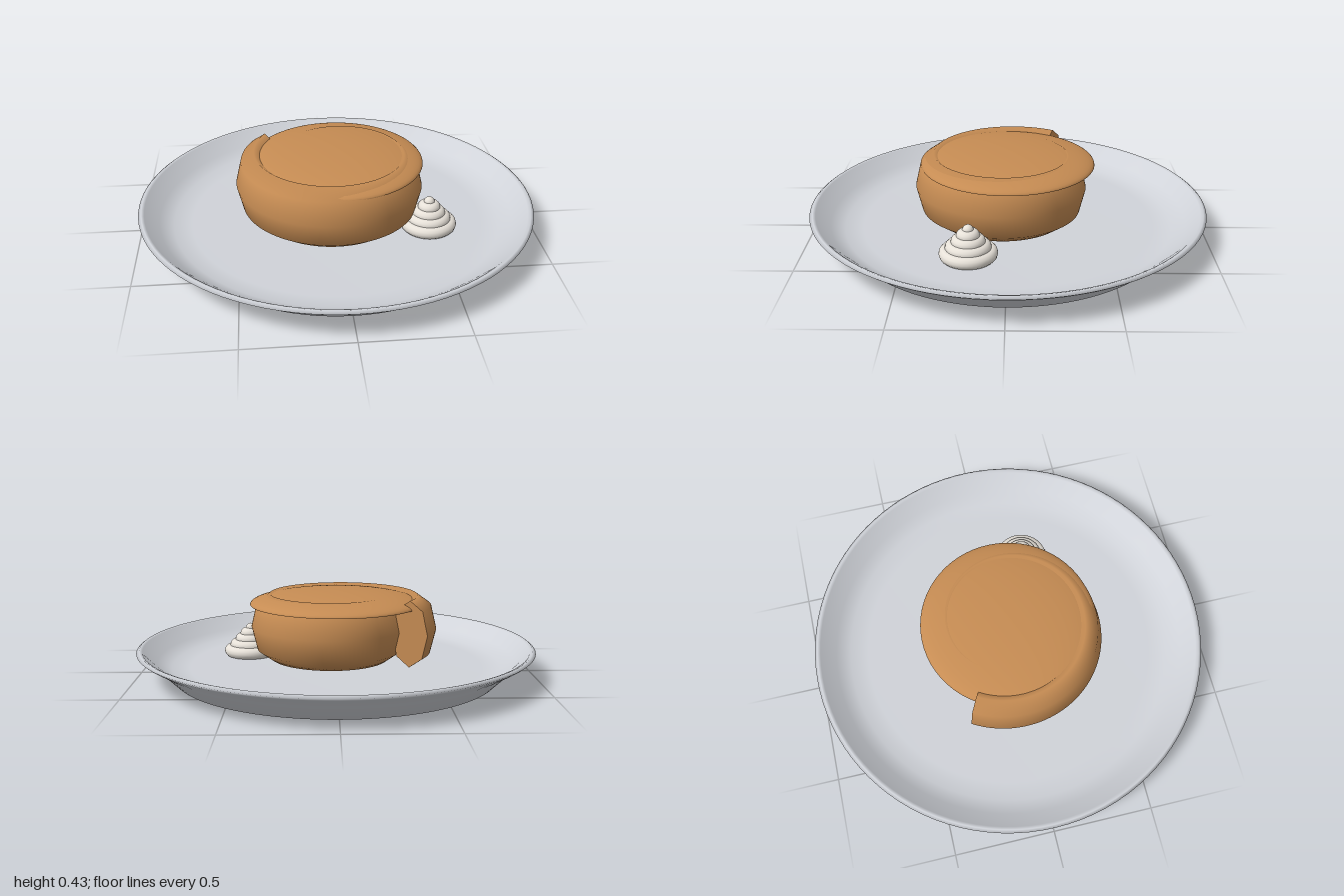
import * as THREE from 'three';

const material = (name, color) => {
  const m = new THREE.MeshStandardMaterial({ color, side: THREE.DoubleSide });
  m.name = name;
  return m;
};

// Spiral centre line: starts at the loose outer end and winds inwards
class SpiralCurve extends THREE.Curve {
  getPoint(t, target = new THREE.Vector3()) {
    const turn = 0.593 - t * Math.PI * 5;
    const r = 0.41 + 0.0238 * turn;
    const a = Math.PI + turn;
    return target.set(r * Math.cos(a), 0, r * Math.sin(a));
  }
}

export function createModel() {
  const model = new THREE.Group();
  const china = material('pale grey china', 0xd0d3d9);
  const bread = material('golden brown pastry', 0xc68c53);
  const cream = material('whipped cream', 0xf3ede4);

  const add = (parent, name, geometry, mat, y = 0) => {
    const mesh = new THREE.Mesh(geometry, mat);
    mesh.name = name;
    mesh.position.y = y;
    parent.add(mesh);
    return mesh;
  };

  // Plate: underside, flared rim, then the shallow inner face
  const profile = [
    [0, 0], [0.76, 0], [0.82, 0.003], [0.9, 0.082], [0.985, 0.135], [1, 0.147],
    [0.985, 0.158], [0.97, 0.153], [0.9, 0.09], [0.83, 0.058], [0.74, 0.05], [0, 0.05],
  ].map(([x, y]) => new THREE.Vector2(x, y));
  add(model, 'plate', new THREE.LatheGeometry(profile, 96), china);

  // Rolled pastry: a tall eight-sided tube wound in a spiral
  const pastry = new THREE.Group();
  pastry.name = 'pastry';
  model.add(pastry);
  const path = new SpiralCurve();
  const tall = 0.165 / 0.095;
  const roll = new THREE.TubeGeometry(path, 220, 0.095, 8, false);
  roll.scale(1, tall, 1);
  add(pastry, 'pastryRoll', roll, bread, 0.245);

  // Flat cut face on the loose end
  const end = new THREE.CircleGeometry(0.095, 8);
  end.scale(1, tall, 1);
  const cut = add(pastry, 'pastryEnd', end, bread);
  const outward = path.getTangent(0).negate();
  cut.position.copy(path.getPoint(0)).setY(0.245);
  cut.rotation.y = Math.atan2(outward.x, outward.z);

  // Low glazed dome over the roll
  const dome = new THREE.SphereGeometry(0.435, 64, 16, 0, Math.PI * 2, 0, Math.PI / 2);
  dome.scale(1, 0.065 / 0.435, 1);
  add(pastry, 'pastryTop', dome, bread, 0.36);

  // Cream swirl: shrinking rings with a bead on top
  const swirl = new THREE.Group();
  swirl.name = 'creamSwirl';
  swirl.position.set(0.45, 0, 0.18);
  model.add(swirl);
  [0.11, 0.08, 0.052, 0.026].forEach((radius, i) => {
    const ring = new THREE.TorusGeometry(radius, 0.03, 12, 40);
    ring.rotateX(-Math.PI / 2);
    add(swirl, 'creamRing', ring, cream, 0.078 + i * 0.03);
  });
  add(swirl, 'creamTip', new THREE.SphereGeometry(0.027, 20, 14), cream, 0.195);

  return model;
}
